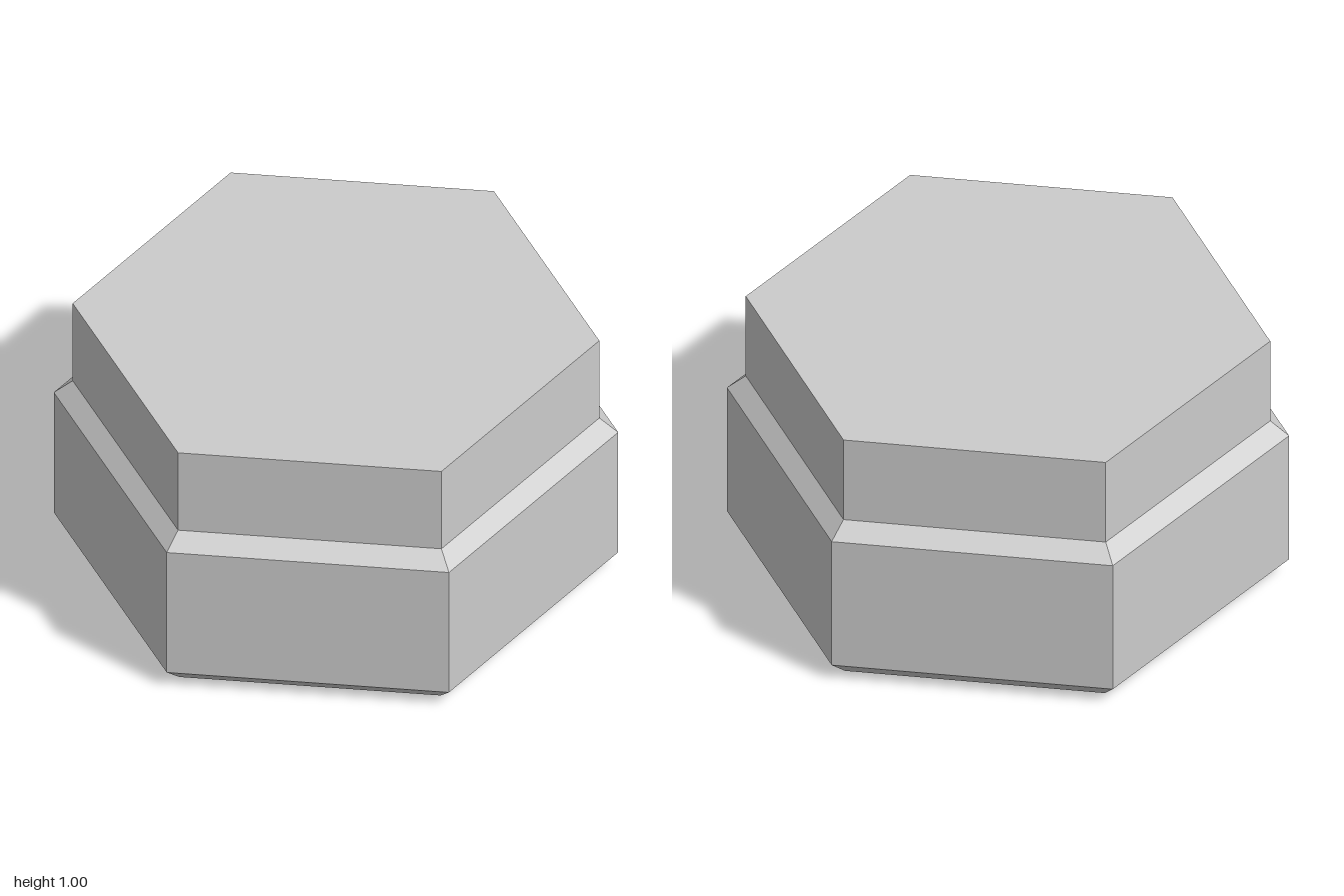
import * as THREE from 'three';

export function createModel() {
  const group = new THREE.Group();
  const material = new THREE.MeshStandardMaterial({ color: 0xcccccc, flatShading: true });

  // Corner radius and height, from the centre of the base to the centre of the top
  const profile = [
    [0, 0],
    [0.925, 0],      // base
    [1, 0.067],      // lower chamfer
    [1, 0.602],      // wide body
    [0.933, 0.66],   // shoulder chamfer
    [0.933, 1.005],  // narrow upper body
    [0, 1.005],
  ].map(([r, y]) => new THREE.Vector2(r, y));

  // Six segments give the hexagonal section, with corners on the z axis
  const body = new THREE.Mesh(new THREE.LatheGeometry(profile, 6), material);
  body.name = 'steppedHexagonalBody';
  group.add(body);

  return group;
}
